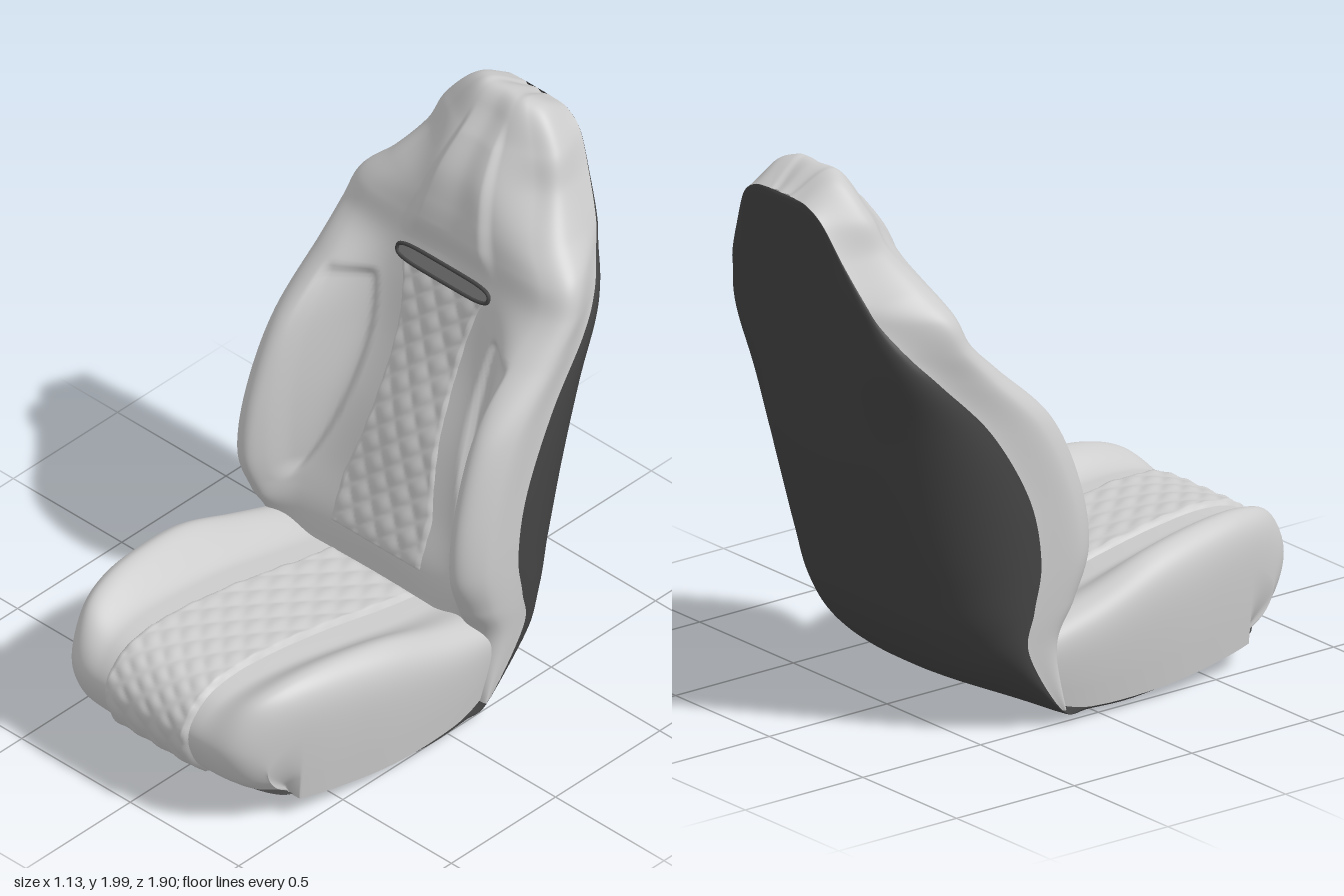
import * as THREE from 'three';

const V = (x, y, z) => new THREE.Vector3(x, y, z);
const smooth = THREE.MathUtils.smoothstep;
const material = color => new THREE.MeshStandardMaterial({ color, side: THREE.DoubleSide });
const fabric = material(0xcccccc);
const plastic = material(0x444444);

// Backrest front, top to bottom: y, centre z, bolster crest x and z, flank x
const frontRows = [
  [1.925, -.95, .05, -.95, .06],
  [2, -.8, .1, -.805, .15],
  [1.87, -.695, .19, -.73, .255],
  [1.75, -.615, .24, -.685, .305],
  [1.63, -.57, .31, -.6, .39],
  [1.53, -.545, .4, -.55, .488],
  [1.42, -.52, .43, -.505, .52],
  [1.3, -.48, .42, -.385, .53],
  [1.1, -.41, .445, -.19, .545],
  [.85, -.31, .46, -.08, .555],
  [.62, -.235, .47, -.045, .56],
  [.45, -.18, .47, -.095, .55],
  [.3, -.17, .47, -.165, .535],
  [.06, -.15, .47, -.15, .525],
];
// Shell rim x, y, z and centre line y, z; the last rows run on under the seat
const shellRows = [
  [.07, 1.925, -.95, 1.925, -.95],
  [.14, 1.915, -.95, 1.91, -.955],
  [.21, 1.865, -.94, 1.865, -.95],
  [.28, 1.74, -.91, 1.74, -.935],
  [.35, 1.61, -.87, 1.61, -.92],
  [.385, 1.53, -.835, 1.53, -.905],
  [.45, 1.42, -.76, 1.42, -.89],
  [.495, 1.31, -.66, 1.3, -.87],
  [.53, 1.11, -.475, 1.1, -.83],
  [.55, .85, -.33, .8, -.755],
  [.555, .62, -.285, .53, -.67],
  [.55, .45, -.31, .32, -.58],
  [.54, .3, -.325, .15, -.43],
  [.525, .06, -.17, .04, -.18],
  [.53, .05, -.06, .01, -.02],
  [.53, .045, .15, .015, .18],
  [.5, .07, .48, .055, .5],
  [.43, .09, .67, .13, .81],
];
// Seat profile, rear to front lip: half width, y, z, bolster y
const seatRows = [
  [.52, .31, -.25, .34], [.55, .36, 0, .42], [.555, .42, .25, .51],
  [.53, .465, .5, .55], [.505, .48, .7, .55], [.475, .45, .84, .5],
  [.445, .35, .92, .36], [.44, .22, .885, .22], [.43, .13, .8, .13],
];

// Smooth curve through points, read by point index
function spline(pts) {
  const c = new THREE.CatmullRomCurve3(pts, false, 'catmullrom', 0.5);
  return i => c.getPoint(THREE.MathUtils.clamp(i / (pts.length - 1), 0, 1));
}
const centre = spline(frontRows.map(r => V(0, r[0], r[1])));
const panelX = row => Math.min(0.35, 0.03 + 0.03 * row);
const crest = spline(frontRows.map(r => V(r[2], r[0], r[3])));
// The flank droops at the crown to round it
const flank = spline(frontRows.map((r, i) => V(r[4], r[0] - (i === 1 ? 0.025 : 0), r[3] * 0.7 + shellRows[i][2] * 0.3)));
const rim = spline(shellRows.map(r => V(r[0], r[1], r[2])));
const shellMid = spline(shellRows.map(r => V(0, r[3], r[4])));
const seatMid = spline(seatRows.map(r => V(r[0], r[1], r[2])));
const seatBolster = spline(seatRows.map(r => V(r[0], r[3], r[2])));

// Grid mesh from a function of two parameters in 0..1
function surface(name, mat, nu, nv, fn) {
  const pos = [], idx = [];
  for (let j = 0; j <= nv; j++) for (let i = 0; i <= nu; i++) {
    pos.push(...fn(i / nu, j / nv).toArray());
    if (i < nu && j < nv) {
      const a = j * (nu + 1) + i, b = a + nu + 1;
      idx.push(a, b, a + 1, a + 1, b, b + 1);
    }
  }
  const g = new THREE.BufferGeometry();
  g.setAttribute('position', new THREE.Float32BufferAttribute(pos, 3));
  g.setIndex(idx);
  g.computeVertexNormals();
  const m = new THREE.Mesh(g, mat);
  m.name = name;
  return m;
}

// Move a surface point outward along its normal
function lift(fn, a, b, d) {
  const p = fn(a, b), e = 0.01;
  const n = fn(a + e, b).sub(p).cross(fn(a, b + e).sub(p)).normalize();
  if (n.y + n.z * 2 < 0) n.negate();
  return p.addScaledVector(n, d);
}

// Backrest: u in -4..4 crosses from rim to rim, row runs down
function backAt(u, row) {
  const mid = centre(row);
  const half = [V(panelX(row), mid.y, mid.z + 0.008), crest(row), flank(row), rim(row)];
  const mirrored = half.map(p => V(-p.x, p.y, p.z)).reverse();
  const p = spline([...mirrored, mid, ...half])(u + 4), a = Math.abs(u), x = Math.abs(p.x);
  // Raised head pad
  p.z += 0.02 * (1 - smooth(a, 0.8, 1.1)) * smooth(row, 1.5, 2.1) * (1 - smooth(row, 4.8, 5.8));
  // Recessed inner face of the side bolsters, with a curved inner edge
  const inner = 0.235 + 0.48 * (p.y - 1.05) ** 2 + 0.1 * (1 - smooth(p.y, 1.18, 1.18 - 0.12)) * smooth(p.y, 1.18, 1.3);
  const across = smooth(x, inner, inner + 0.03) * (1 - smooth(x, 0.4, 0.43));
  p.z -= 0.028 * across * (1 - smooth(p.y, 1.25, 1.3)) * smooth(p.y, 0.5, 0.58) * (1 - smooth(a, 2, 2.3));
  return p;
}

// Seat: s in -1..1 crosses from side to side, t runs forward and over the lip
function seatAt(s, t) {
  const a = Math.abs(s), e = Math.pow(1 - a ** 7, 1 / 7);
  const m = seatMid(t).lerp(seatBolster(t), 1.25 * smooth(a, 0.5, 0.86));
  const pull = 0.13 * a ** 8, lip = 0.8 - pull;
  let z = m.z - pull * smooth(m.z, 0.3, 0.9);
  // Corners tuck back to the lip at the bottom edge
  if (z > lip) z = lip + (z - lip) * smooth(e, 0, 0.6);
  const base = 0.042 + 0.1 * Math.max(0, z) ** 2 + 1.1 * Math.min(0, z) ** 2;
  return V(m.x * s * (1 - 0.05 * (1 - e) ** 2), base + (m.y - base) * e, z);
}

// Height of diamond quilting with a turned-down border
function quilt(u, v, x, len, height) {
  const edge = Math.min(1, (1 - Math.abs(u)) / 0.08, Math.min(v, 1 - v) / 0.015);
  const a = Math.sin(Math.PI * (x / 0.1 + len / 0.16)), b = Math.sin(Math.PI * (x / 0.1 - len / 0.09));
  return -0.005 + edge * (height + 0.007 * Math.abs(a * b));
}

// Rounded slot outline
function slotPoints(w, h) {
  return Array.from({ length: 40 }, (_, i) => {
    const a = (i + 0.5) / 40 * Math.PI * 2, c = Math.cos(a), s = Math.sin(a);
    return V(w * Math.sign(c) * Math.abs(c) ** 0.4, h * Math.sign(s) * Math.abs(s) ** 0.7, 0);
  });
}

export function createModel() {
  const model = new THREE.Group();
  const backEnd = frontRows.length - 1, shellEnd = shellRows.length - 1, seatEnd = seatRows.length - 1;

  model.add(surface('backrestCushion', fabric, 160, 170, (i, j) => backAt(i * 8 - 4, j * backEnd)));

  // Shell wraps behind the backrest and under the seat
  model.add(surface('rearShell', plastic, 60, 130, (i, j) => {
    const s = Math.sin((i - 0.5) * Math.PI), r = rim(j * shellEnd);
    const p = shellMid(j * shellEnd).lerp(r, 1 - Math.pow(1 - Math.abs(s) ** 2.3, 1 / 2.3));
    p.x = r.x * s;
    return p;
  }));

  // Columns crowd towards the steep sides
  model.add(surface('seatCushion', fabric, 160, 100, (i, j) => {
    const u = i * 2 - 1;
    return seatAt(Math.sign(u) * (1 - (1 - Math.abs(u)) ** 3), j * seatEnd);
  }));

  // Quilted inserts
  model.add(surface('seatInsert', fabric, 44, 130, (i, j) => {
    const u = i * 2 - 1, t = 0.3 + j * 7.65, s = u * 0.195 / seatMid(t).x, p = seatAt(s, t);
    return lift(seatAt, s, t, quilt(u, j, p.x, p.z - p.y, 0.018));
  }));
  model.add(surface('backrestInsert', fabric, 44, 130, (i, j) => {
    const u = i * 2 - 1, row = 6.45 + j * 4.7;
    const width = 0.14 + 0.055 * Math.min(1, Math.abs(j - 0.38) / 0.38) ** 2;
    const k = u * width / panelX(row), p = backAt(k, row);
    return lift(backAt, k, row, quilt(u, j, p.x, p.y, 0.01));
  }));

  // Belt slot below the headrest
  const slot = new THREE.Group();
  slot.name = 'beltSlot';
  const outline = slotPoints(0.21, 0.032);
  const path = new THREE.CatmullRomCurve3(outline, true);
  const frame = new THREE.Mesh(new THREE.TubeGeometry(path, 120, 0.007, 8, true), plastic);
  frame.name = 'slotFrame';
  const inner = new THREE.Mesh(new THREE.ShapeGeometry(new THREE.Shape(outline)), material(0x888888));
  inner.name = 'slotInner';
  slot.add(frame, inner);
  slot.position.set(0, 1.395, -0.5);
  slot.rotation.x = -0.2;
  model.add(slot);
  return model;
}
